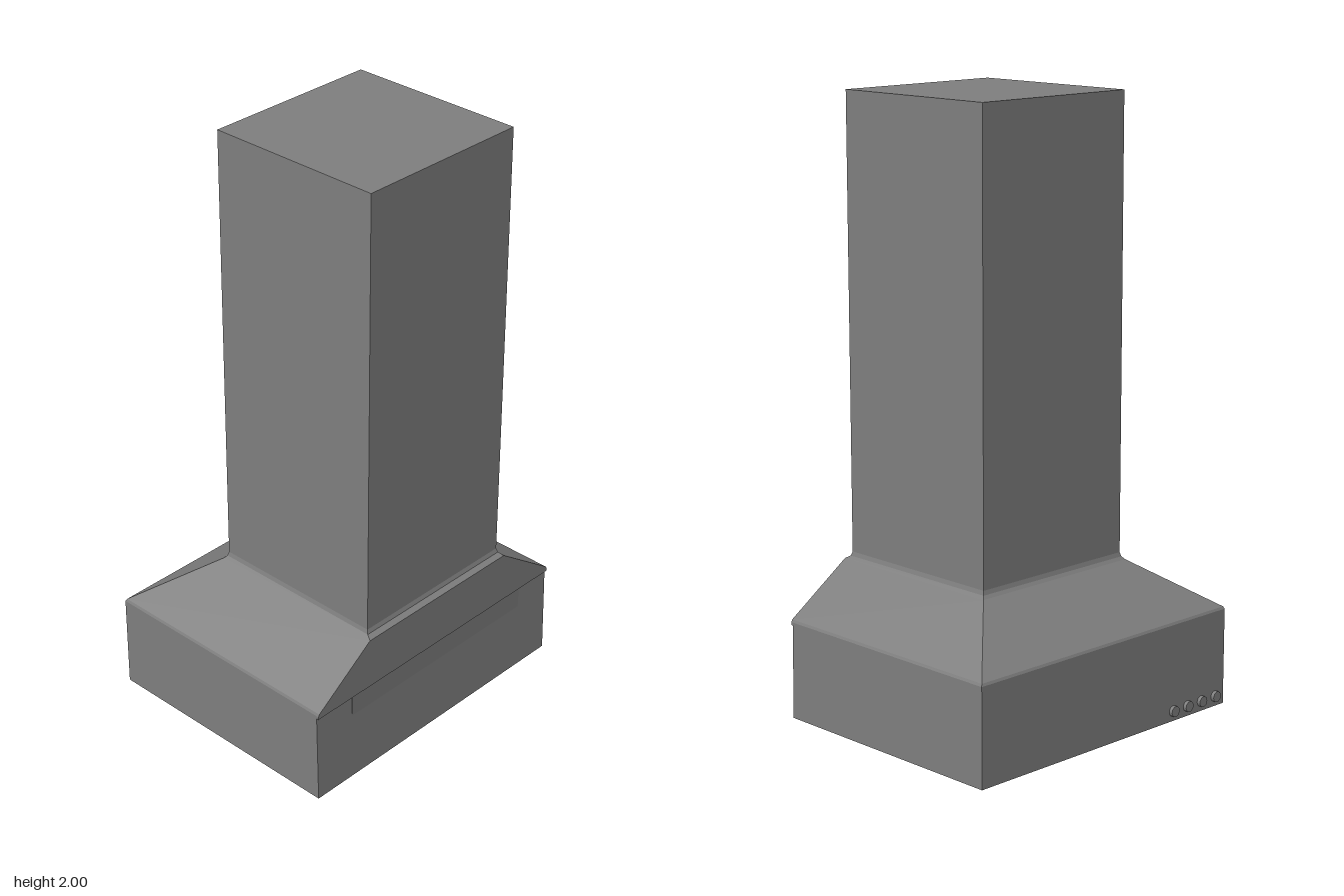
import * as THREE from 'three';

const material = new THREE.MeshStandardMaterial({ color: 0x7e7e7e, flatShading: true });

// Skin through rectangular sections [y, x0, x1, z0, z1], with optional end caps
function loftRects(rings, capStart, capEnd) {
  const pos = [];
  const corners = ([y, x0, x1, z0, z1]) => [[x0, y, z1], [x1, y, z1], [x1, y, z0], [x0, y, z0]];
  const quad = (a, b, c, d) => pos.push(...a, ...b, ...c, ...a, ...c, ...d);
  for (let i = 0; i < rings.length - 1; i++) {
    const lo = corners(rings[i]), hi = corners(rings[i + 1]);
    for (let k = 0; k < 4; k++) {
      const n = (k + 1) % 4;
      quad(lo[k], lo[n], hi[n], hi[k]);
    }
  }
  if (capStart) quad(...corners(rings[0]).reverse());
  if (capEnd) quad(...corners(rings[rings.length - 1]));
  const geometry = new THREE.BufferGeometry();
  geometry.setAttribute('position', new THREE.Float32BufferAttribute(pos, 3));
  geometry.computeVertexNormals();
  return geometry;
}

export function createModel() {
  const group = new THREE.Group();
  const add = (name, geometry, x = 0, y = 0, z = 0) => {
    const mesh = new THREE.Mesh(geometry, material);
    mesh.name = name;
    mesh.position.set(x, y, z);
    group.add(mesh);
    return mesh;
  };

  // Hollow lower body: inner ceiling, inner walls, bottom rim, outer walls
  add('hoodBody', loftRects([
    [0.36, -0.332, 0.423, -0.445, 0.39],
    [0, -0.332, 0.423, -0.445, 0.39],
    [0, -0.433, 0.443, -0.547, 0.547],
    [0.312, -0.433, 0.436, -0.547, 0.547],
  ], true, false));

  // Sloped canopy with a short lip below and a softly stepped collar above
  add('canopy', loftRects([
    [0.312, -0.433, 0.436, -0.547, 0.547],
    [0.312, -0.433, 0.444, -0.547, 0.547],
    [0.322, -0.433, 0.444, -0.547, 0.547],
    [0.33, -0.429, 0.444, -0.543, 0.543],
    [0.488, -0.203, 0.444, -0.318, 0.318],
    [0.498, -0.194, 0.426, -0.309, 0.309],
    [0.512, -0.19, 0.421, -0.305, 0.305],
  ], false, false));

  // Tall square duct
  add('chimney', loftRects([
    [0.512, -0.19, 0.421, -0.305, 0.305],
    [2, -0.19, 0.421, -0.305, 0.305],
  ], false, true));

  // Thin mounting plate, flush with the slanted wall at its lower edge
  add('mountingPlate', loftRects([
    [0.235, 0.43, 0.4378, -0.41, 0.39],
    [0.312, 0.43, 0.439, -0.41, 0.39],
  ], false, false));

  // Row of control buttons
  for (let i = 0; i < 4; i++) {
    const button = add('controlButton' + (i + 1),
      new THREE.CylinderGeometry(0.018, 0.018, 0.016, 16), -0.437, 0.034, 0.302 + i * 0.0675);
    button.rotation.z = Math.PI / 2;
  }
  return group;
}
